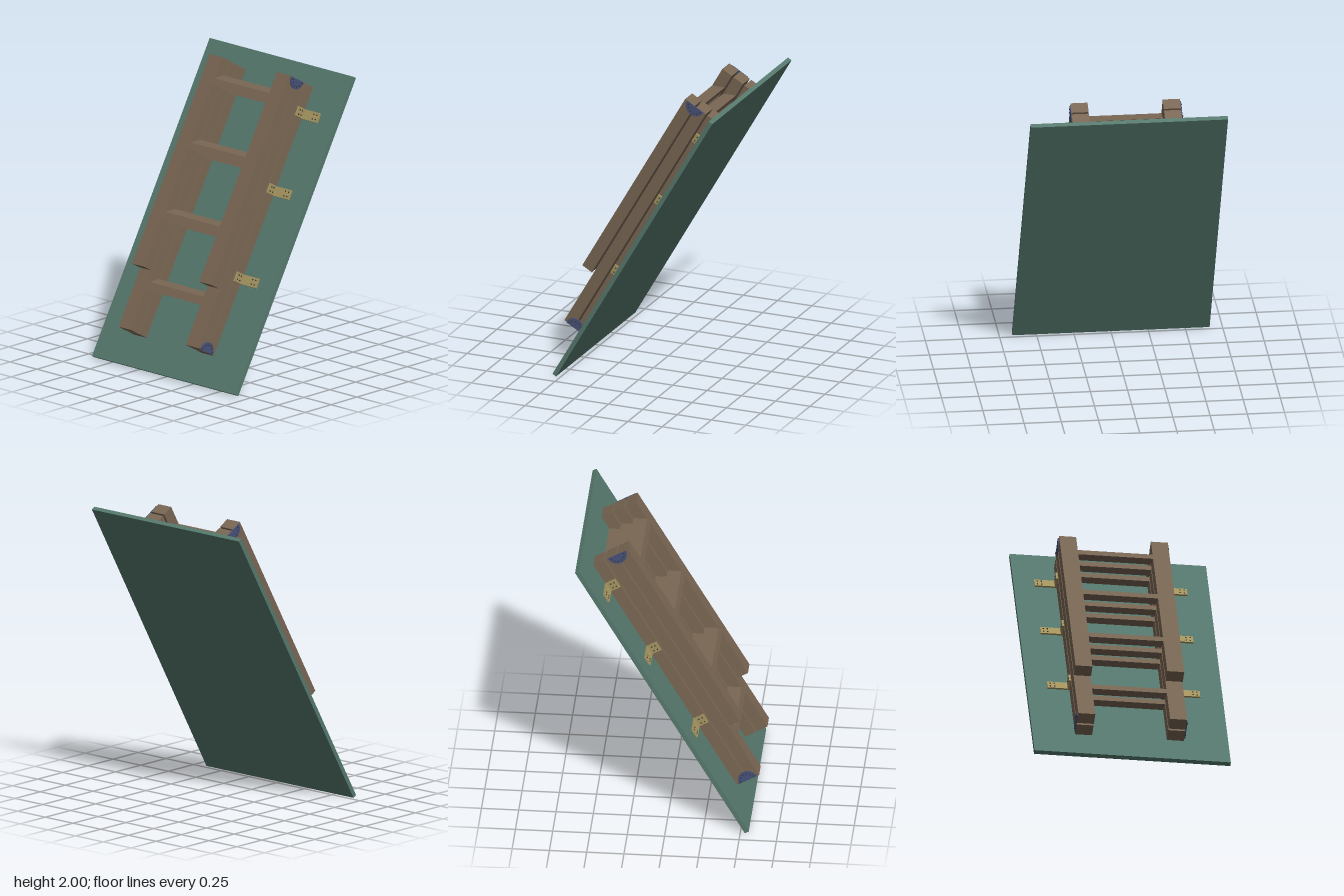
import * as THREE from 'three';

const TILT = Math.PI / 6;
const COS = Math.cos(TILT), SIN = Math.sin(TILT);
const CX = -0.0075; // ladder centre line

const mat = (color) => new THREE.MeshStandardMaterial({ color });

export function createModel() {
  const model = new THREE.Group();
  model.name = 'foldingLoftLadder';

  // Everything lies in a frame leaning back: y runs up the hatch, z out of it
  const tilted = new THREE.Group();
  tilted.name = 'tiltedAssembly';
  tilted.rotation.x = -TILT;
  model.add(tilted);

  const panelMat = mat(0x56796e), wood = mat(0x7a6754), brass = mat(0xa69660);
  const steel = mat(0x48527a), dark = mat(0x3a3a3e);

  const add = (parent, name, geometry, material) => {
    const mesh = new THREE.Mesh(geometry, material);
    mesh.name = name;
    parent.add(mesh);
    return mesh;
  };
  // Box given by its limits on each axis
  const box = (parent, name, material, x0, x1, y0, y1, z0, z1) => {
    const g = new THREE.BoxGeometry(Math.abs(x1 - x0), y1 - y0, z1 - z0);
    g.translate((x0 + x1) / 2, (y0 + y1) / 2, (z0 + z1) / 2);
    return add(parent, name, g, material);
  };
  // Extrudes a (z, y) outline across x, centred on the given x
  const sideExtrude = (shape, width, x) => {
    const g = new THREE.ExtrudeGeometry(shape, { depth: width, bevelEnabled: false, curveSegments: 20 });
    g.translate(0, 0, -width / 2);
    g.rotateY(-Math.PI / 2);
    g.translate(x, 0, 0);
    return g;
  };

  // Hatch panel
  box(tilted, 'hatchPanel', panelMat, -0.664, 0.662, -0.2655, 2.0125, 0.46, 0.49);

  // Three stacked ladder sections; treads list the world height of each tread top
  const sections = [
    { name: 'lowerSection', z0: 0.492, z1: 0.572, bottom: -0.052, treads: [0.544, 0.95, 1.377, 1.78] },
    { name: 'middleSection', z0: 0.585, z1: 0.665, bottom: -0.052, treads: [0.587, 0.992, 1.424, 1.825] },
    { name: 'upperSection', z0: 0.678, z1: 0.758, bottom: 0.37, treads: [1.042, 1.472, 1.87] },
  ];
  const top = 1.872, railIn = 0.2525, railOut = 0.3675, treadHeight = 0.043;

  for (const { name, z0, z1, bottom, treads } of sections) {
    const section = new THREE.Group();
    section.name = name;
    tilted.add(section);
    for (const s of [-1, 1])
      box(section, s > 0 ? 'leftRail' : 'rightRail', wood, CX + s * railIn, CX + s * railOut, bottom, top, z0, z1);
    // Treads are level on top and flush with the rails front and back
    for (const h of treads) {
      const local = (height, z) => new THREE.Vector2(z, (height - SIN * z) / COS);
      const shape = new THREE.Shape([
        local(h - treadHeight, z0), local(h - treadHeight, z1), local(h, z1), local(h, z0),
      ]);
      add(section, 'tread', sideExtrude(shape, railIn * 2, CX), wood);
    }
  }

  // Screw or rivet heads
  const head = (parent, name, r, x, y, z, alongX) => {
    const g = new THREE.CylinderGeometry(r, r, 0.006, 10);
    if (alongX) g.rotateZ(Math.PI / 2);
    else g.rotateX(Math.PI / 2);
    g.translate(x, y, z);
    add(parent, name, g, dark);
  };

  for (const s of [-1, 1]) {
    // Half-round hinge plates joining neighbouring sections
    for (const [y, z, dir] of [[top, 0.6715, -1], [-0.052, 0.5785, 1]]) {
      const hinge = new THREE.Group();
      hinge.name = 'hinge';
      tilted.add(hinge);
      const r = 0.068;
      const shape = new THREE.Shape();
      shape.absarc(z, y, r, dir > 0 ? 0 : Math.PI, dir > 0 ? Math.PI : Math.PI * 2, false);
      add(hinge, 'hingePlate', sideExtrude(shape, 0.006, CX + s * (railOut + 0.003)), steel);
      for (let i = 0; i < 6; i++) {
        const a = Math.PI * (i + 0.5) / 6;
        head(hinge, 'rivet', 0.005, CX + s * (railOut + 0.008), y + dir * Math.sin(a) * 0.05, z + Math.cos(a) * 0.05, true);
      }
    }

    // Angle brackets fixing the lower section to the panel
    for (const y of [0.4965, 1.129, 1.68]) {
      const bracket = new THREE.Group();
      bracket.name = 'angleBracket';
      tilted.add(bracket);
      const h = 0.034;
      box(bracket, 'railLeg', brass, CX + s * railOut, CX + s * (railOut + 0.012), y - h, y + h, 0.49, 0.57);
      box(bracket, 'panelLeg', brass, CX + s * (railOut + 0.012), CX + s * 0.516, y - h, y + h, 0.49, 0.502);
      for (const dy of [-0.016, 0.016]) {
        for (const x of [0.468, 0.496]) head(bracket, 'screw', 0.005, CX + s * x, y + dy, 0.502, false);
        for (const z of [0.525, 0.55]) head(bracket, 'screw', 0.005, CX + s * (railOut + 0.012), y + dy, z, true);
      }
    }
  }
  return model;
}
